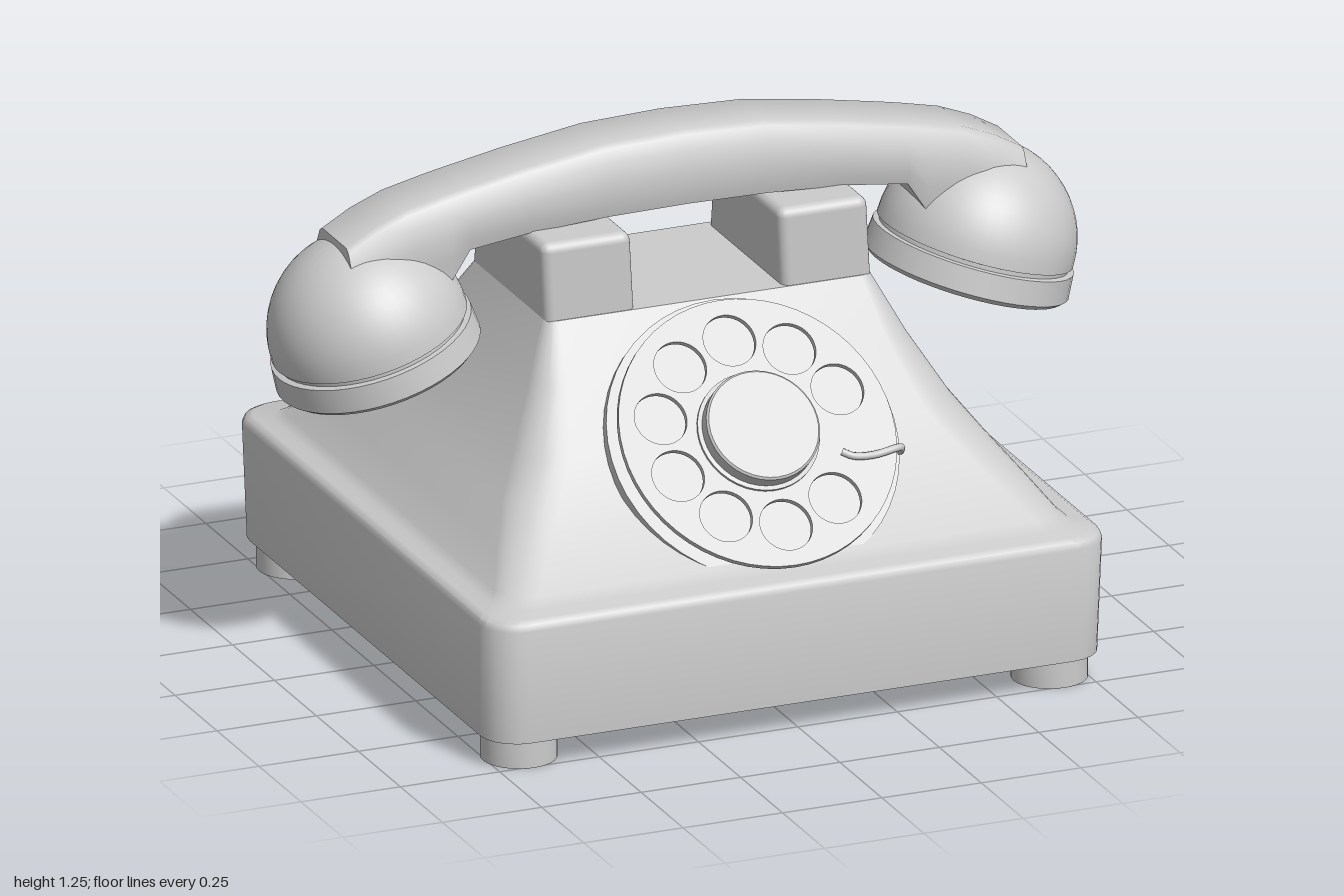
import * as THREE from 'three';
import { toCreasedNormals } from 'three/addons/utils/BufferGeometryUtils.js';
import { RoundedBoxGeometry } from 'three/addons/geometries/RoundedBoxGeometry.js';

const grey = new THREE.MeshStandardMaterial({ color: 0xcccccc });
const greyOpen = new THREE.MeshStandardMaterial({ color: 0xcccccc, side: THREE.DoubleSide });

function add(parent, name, geometry, material = grey) {
  const mesh = new THREE.Mesh(geometry, material);
  mesh.name = name;
  parent.add(mesh);
  return mesh;
}

// Skin a list of equal-length rings of Vector3, with optional flat caps.
function loft(rings, capStart, capEnd, crease) {
  const pos = [];
  const tri = (...pts) => pts.forEach((p) => pos.push(p.x, p.y, p.z));
  const n = rings[0].length;
  for (let i = 0; i < rings.length - 1; i++) {
    for (let j = 0; j < n; j++) {
      const k = (j + 1) % n;
      const a = rings[i][j], b = rings[i][k], c = rings[i + 1][j], d = rings[i + 1][k];
      tri(a, c, b);
      tri(b, c, d);
    }
  }
  const cap = (ring, flip) => {
    const mid = new THREE.Vector3();
    ring.forEach((p) => mid.addScaledVector(p, 1 / n));
    ring.forEach((p, j) => {
      const q = ring[(j + 1) % n];
      if (flip) tri(mid, q, p);
      else tri(mid, p, q);
    });
  };
  if (capStart) cap(rings[0], false);
  if (capEnd) cap(rings[rings.length - 1], true);
  const g = new THREE.BufferGeometry();
  g.setAttribute('position', new THREE.Float32BufferAttribute(pos, 3));
  return toCreasedNormals(g, crease);
}

// Horizontal rounded rectangle
function roundedRing(y, hx, hz, r) {
  const pts = [], steps = 5;
  [[1, 1], [-1, 1], [-1, -1], [1, -1]].forEach(([sx, sz], q) => {
    for (let i = 0; i <= steps; i++) {
      const a = (q + i / steps) * Math.PI / 2;
      pts.push(new THREE.Vector3(sx * (hx - r) + r * Math.cos(a), y, sz * (hz - r) + r * Math.sin(a)));
    }
  });
  return pts;
}

function buildBody(model) {
  // Hollow housing, open underneath: height, half width, half depth, corner radius
  const levels = [
    [0.07, 0.772, 0.777, 0.09], [0.35, 0.78, 0.787, 0.09], [0.365, 0.775, 0.782, 0.09],
    [0.374, 0.76, 0.767, 0.085], [0.376, 0.725, 0.72, 0.08], [0.395, 0.705, 0.69, 0.08],
    [0.46, 0.66, 0.61, 0.09], [0.54, 0.602, 0.515, 0.1], [0.62, 0.545, 0.445, 0.1],
    [0.75, 0.472, 0.333, 0.07], [0.88, 0.41, 0.228, 0.03],
  ];
  add(model, 'body', loft(levels.map((l) => roundedRing(...l)), false, true, 0.75), greyOpen);

  for (const s of [-1, 1]) {
    // Cradle horns, deeper towards the bottom
    const g = new RoundedBoxGeometry(0.225, 0.22, 0.4, 3, 0.022);
    const p = g.attributes.position;
    for (let i = 0; i < p.count; i++) p.setZ(i, p.getZ(i) * (1.08 - 0.7 * p.getY(i)));
    add(model, 'cradleHorn', g).position.set(s * 0.2975, 0.95, 0);

    // Feet
    for (const t of [-1, 1]) {
      const foot = new THREE.LatheGeometry(
        [[0.09, 0], [0.09, 0.07], [0, 0.07]].map(([r, y]) => new THREE.Vector2(r, y)), 32);
      add(model, 'foot', toCreasedNormals(foot, 0.7), greyOpen).position.set(s * 0.667, 0, t * 0.667);
    }
  }
}

function buildDial(model) {
  const dial = new THREE.Group();
  dial.name = 'dial';
  dial.position.set(0, 0.6425, 0.5075);
  dial.rotation.x = -0.743;
  model.add(dial);

  // Base disc set into the housing
  const base = add(dial, 'dialBase', new THREE.CylinderGeometry(0.355, 0.355, 0.055, 48));
  base.rotation.x = Math.PI / 2;
  base.position.z = -0.062;

  // Finger wheel with nine holes and one gap
  const disc = new THREE.Shape().absarc(0, 0, 0.337, 0, Math.PI * 2);
  for (let i = 0; i < 9; i++) {
    const a = (19 + i * 36) * Math.PI / 180;
    disc.holes.push(new THREE.Path().absarc(0.235 * Math.cos(a), 0.235 * Math.sin(a), 0.064, 0, Math.PI * 2, true));
  }
  const wheel = new THREE.ExtrudeGeometry(disc, { depth: 0.015, bevelEnabled: false, curveSegments: 28 });
  add(dial, 'fingerWheel', toCreasedNormals(wheel, 0.6)).position.z = -0.01;

  // Wheel hub
  const hub = [[0.148, 0], [0.148, 0.012], [0.138, 0.014], [0.138, 0.048], [0.133, 0.053], [0, 0.053]];
  const hubGeo = new THREE.LatheGeometry(hub.map(([r, y]) => new THREE.Vector2(r, y)), 40);
  add(dial, 'dialHub', toCreasedNormals(hubGeo, 0.6)).rotation.x = Math.PI / 2;

  // Hooked finger stop
  const hook = new THREE.CatmullRomCurve3([
    new THREE.Vector3(0.345, -0.085, -0.03), new THREE.Vector3(0.33, -0.09, 0.012),
    new THREE.Vector3(0.26, -0.1, 0.014), new THREE.Vector3(0.21, -0.095, 0.014),
    new THREE.Vector3(0.185, -0.08, 0.014),
  ]);
  add(dial, 'fingerStop', new THREE.TubeGeometry(hook, 20, 0.009, 8));
}

function buildHandset(model) {
  const handset = new THREE.Group();
  handset.name = 'handset';
  model.add(handset);

  // Arched grip: x, top, bottom, for one half and mirrored
  const half = [
    [0, 1.245, 1.07], [0.2, 1.238, 1.067], [0.4, 1.208, 1.056], [0.55, 1.18, 1.037],
    [0.6, 1.17, 0.96], [0.7, 1.147, 0.93], [0.78, 1.115, 0.92], [0.85, 1.075, 0.92],
  ];
  const stations = [...half.slice(1).reverse().map(([x, t, b]) => [-x, t, b]), ...half];
  const section = ([x, t, b]) => {
    const low = Math.max(b, t - 0.175), h = t - low;
    const side = [[0.102, b], [0.11, low + 0.03], [0.113, low + h * 0.5], [0.1, low + h * 0.76],
      [0.086, low + h * 0.94], [0.072, t]];
    return [...side, ...side.map(([z, y]) => [-z, y]).reverse()]
      .map(([z, y]) => new THREE.Vector3(x, y, z));
  };
  add(handset, 'grip', loft(stations.map(section), true, true, 0.7));

  // Domed cups with a stepped rim and recessed face, tilted inwards
  const profile = [[0, 0.025], [0.165, 0.025], [0.17, 0], [0.235, 0], [0.248, 0.012],
    [0.243, 0.072], [0.229, 0.074], [0.229, 0.084], [0.237, 0.086]];
  for (let i = 1; i <= 14; i++) {
    const a = i / 14 * Math.PI / 2;
    profile.push([0.237 * Math.cos(a), 0.09 + 0.237 * Math.sin(a)]);
  }
  const cup = toCreasedNormals(
    new THREE.LatheGeometry(profile.map(([r, y]) => new THREE.Vector2(Math.max(r, 0), y)), 48), 0.6);
  for (const [name, turn] of [['earpiece', 0], ['mouthpiece', Math.PI]]) {
    const arm = new THREE.Group();
    arm.name = name;
    arm.rotation.y = turn;
    handset.add(arm);
    const mesh = add(arm, name + 'Cup', cup);
    mesh.position.set(0.736, 0.752, 0);
    mesh.rotation.z = -0.309;
  }
}

export function createModel() {
  const model = new THREE.Group();
  model.name = 'rotaryTelephone';
  buildBody(model);
  buildDial(model);
  buildHandset(model);
  return model;
}
